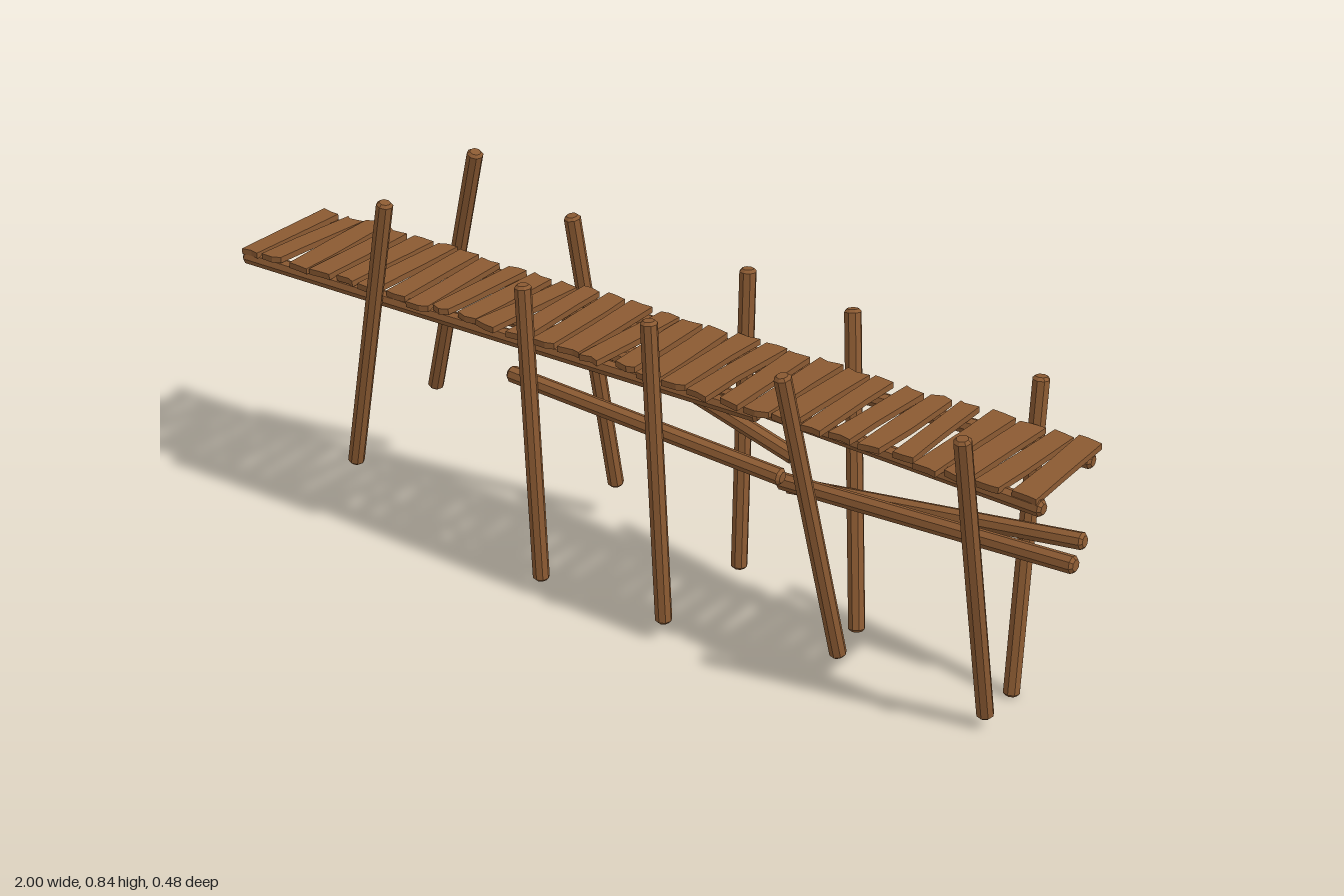
import * as THREE from 'three';

const wood = new THREE.MeshStandardMaterial({ color: 0x8b5a32, flatShading: true });
wood.name = 'brown wood';

// Small seeded generator for the uneven planks
let seed = 11;
const rand = () => {
  seed = (seed * 16807) % 2147483647;
  return seed / 2147483647;
};
const jitter = (a) => (rand() * 2 - 1) * a;

// Eight-sided pole with chamfered ends, running from point a to point b
function pole(name, a, b, r = 0.018) {
  const start = new THREE.Vector3(...a), end = new THREE.Vector3(...b);
  const dir = end.clone().sub(start), len = dir.length(), c = 0.006;
  const profile = [[0, 0], [r - c, 0], [r, c], [r, len - c], [r - c, len], [0, len]]
    .map(([x, y]) => new THREE.Vector2(x, y));
  const mesh = new THREE.Mesh(new THREE.LatheGeometry(profile, 8), wood);
  mesh.name = name;
  mesh.position.copy(start);
  mesh.quaternion.setFromUnitVectors(new THREE.Vector3(0, 1, 0), dir.normalize());
  return mesh;
}

// Flat board with chipped ends, lying across the walkway
function plank(width, length) {
  const w = width / 2, l = length / 2;
  const s = new THREE.Shape();
  s.moveTo(-w + jitter(0.003), -l + jitter(0.006));
  s.lineTo(-w * 0.2 + jitter(0.006), -l + jitter(0.005));
  s.lineTo(w + jitter(0.003), -l + jitter(0.006));
  s.lineTo(w + jitter(0.003), jitter(0.06));
  s.lineTo(w + jitter(0.003), l + jitter(0.006));
  s.lineTo(w * 0.2 + jitter(0.006), l + jitter(0.005));
  s.lineTo(-w + jitter(0.003), l + jitter(0.006));
  s.lineTo(-w + jitter(0.003), jitter(0.06));
  s.closePath();
  const g = new THREE.ExtrudeGeometry(s, { depth: 0.013, bevelEnabled: false });
  g.rotateX(Math.PI / 2);
  const mesh = new THREE.Mesh(g, wood);
  mesh.name = 'plank';
  return mesh;
}

export function createModel() {
  const model = new THREE.Group();
  model.name = 'wooden jetty';

  // Leaning posts in pairs: foot, then head
  const posts = new THREE.Group();
  posts.name = 'posts';
  [
    [[-0.71, 0.16, 0.10], [-0.575, 0.81, 0.132]],
    [[-0.73, 0.20, -0.225], [-0.54, 0.835, -0.14]],
    [[-0.21, 0.035, 0.13], [-0.242, 0.705, 0.128]],
    [[-0.25, 0.085, -0.225], [-0.295, 0.748, -0.133]],
    [[0.105, 0.042, 0.152], [0.07, 0.713, 0.152]],
    [[0.135, 0.055, -0.10], [0.12, 0.722, -0.145]],
    [[0.465, 0.035, 0.068], [0.39, 0.693, 0.19]],
    [[0.455, 0.04, -0.027], [0.36, 0.692, -0.145]],
    [[0.808, 0.025, 0.10], [0.787, 0.684, 0.226]],
    [[0.803, 0.003, -0.028], [0.79, 0.673, -0.104]],
  ].forEach(([a, b]) => posts.add(pole('post', a, b)));

  // Overlapping stringers under the deck
  const stringers = new THREE.Group();
  stringers.name = 'stringers';
  [
    [[-1, 0.571, 0.075], [0.30, 0.553, 0.115]],
    [[-1, 0.571, -0.155], [0.30, 0.553, -0.10]],
    [[-0.36, 0.556, 0.01], [0.935, 0.558, 0.178]],
    [[-0.37, 0.556, -0.085], [0.935, 0.558, -0.04]],
  ].forEach(([a, b]) => stringers.add(pole('stringer', a, b, 0.017)));

  // Sloping braces between the posts
  const braces = new THREE.Group();
  braces.name = 'braces';
  [
    [[-0.38, 0.537, -0.14], [0.265, 0.352, -0.10]],
    [[-0.305, 0.476, 0.09], [0.36, 0.436, 0.125]],
    [[0.27, 0.312, -0.055], [0.935, 0.391, -0.028]],
    [[0.33, 0.404, 0.085], [1, 0.453, 0.165]],
  ].forEach(([a, b]) => braces.add(pole('brace', a, b)));

  // Row of uneven planks
  const deck = new THREE.Group();
  deck.name = 'deck';
  const count = 30;
  for (let i = 0; i < count; i++) {
    const t = i / (count - 1);
    const p = plank(0.05 + jitter(0.005), 0.252 + jitter(0.012));
    p.position.set(-0.962 + 1.868 * t, 0.598 - 0.013 * t + jitter(0.002), -0.037 + 0.1 * t + jitter(0.006));
    p.rotation.set(0.015 + jitter(0.02), -0.1 + jitter(0.05), jitter(0.03));
    deck.add(p);
  }

  model.add(posts, stringers, braces, deck);
  return model;
}
